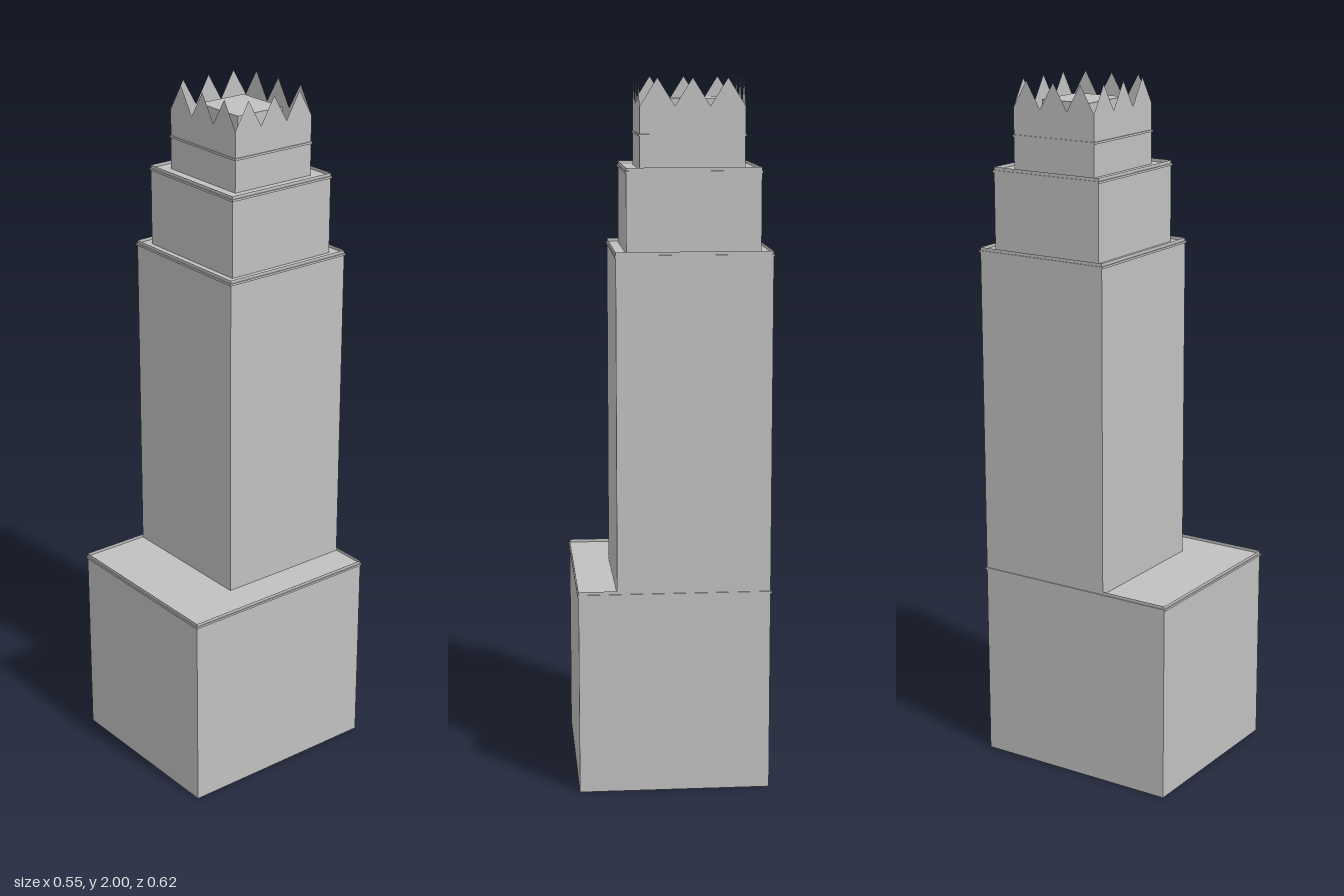
import * as THREE from 'three';

const stone = new THREE.MeshStandardMaterial({ color: 0xc0c0c0, side: THREE.DoubleSide });
stone.name = 'pale grey stone';

// Upright sheet of width w from y0 to y1, with optional pointed teeth above
function wallGeometry(w, y0, y1, teeth, tipY) {
  const s = new THREE.Shape();
  s.moveTo(-w / 2, y0);
  s.lineTo(w / 2, y0);
  s.lineTo(w / 2, y1);
  for (let i = 0; i < teeth; i++) {
    s.lineTo(w / 2 - (w * (i + 0.5)) / teeth, tipY);
    s.lineTo(w / 2 - (w * (i + 1)) / teeth, y1);
  }
  if (!teeth) s.lineTo(-w / 2, y1);
  return new THREE.ShapeGeometry(s);
}

// Hollow storey: four walls and a roof slab that juts out just below the wall tops
function storey({ name, x, z, y0, roofY, y1, teeth = 0, tipY = 0 }) {
  const g = new THREE.Group();
  g.name = name;
  const w = x[1] - x[0];
  const d = z[1] - z[0];
  for (let i = 0; i < 4; i++) {
    const side = i % 2 === 1;
    const wall = new THREE.Mesh(wallGeometry(side ? d : w, y0, y1, teeth, tipY), stone);
    wall.name = name + 'Wall';
    const a = (i * Math.PI) / 2;
    wall.rotation.y = a;
    wall.position.set((Math.sin(a) * w) / 2, 0, (Math.cos(a) * d) / 2);
    g.add(wall);
  }
  const roof = new THREE.Mesh(new THREE.BoxGeometry(w + 0.006, 0.006, d + 0.006), stone);
  roof.name = name + 'Roof';
  roof.position.y = roofY;
  g.add(roof);
  g.position.set((x[0] + x[1]) / 2, 0, (z[0] + z[1]) / 2);
  return g;
}

export function createModel() {
  const model = new THREE.Group();
  model.name = 'steppedTower';

  const storeys = [
    { name: 'base', x: [-0.27, 0.27], z: [-0.307, 0.307], y0: 0, roofY: 0.575, y1: 0.587 },
    { name: 'shaft', x: [-0.27, 0.162], z: [-0.307, 0.102], y0: 0.575, roofY: 1.523, y1: 1.535 },
    { name: 'upperStage', x: [-0.24, 0.131], z: [-0.277, 0.072], y0: 1.523, roofY: 1.748, y1: 1.76 },
    { name: 'crown', x: [-0.199, 0.091], z: [-0.237, 0.031], y0: 1.748, roofY: 1.845, y1: 1.923, teeth: 3, tipY: 2 },
  ];
  storeys.forEach((s) => model.add(storey(s)));

  // Block standing inside the toothed crown
  const block = new THREE.Mesh(new THREE.BoxGeometry(0.172, 0.097, 0.158), stone);
  block.name = 'roofBlock';
  block.position.set(-0.054, 1.8945, -0.103);
  model.add(block);

  return model;
}
